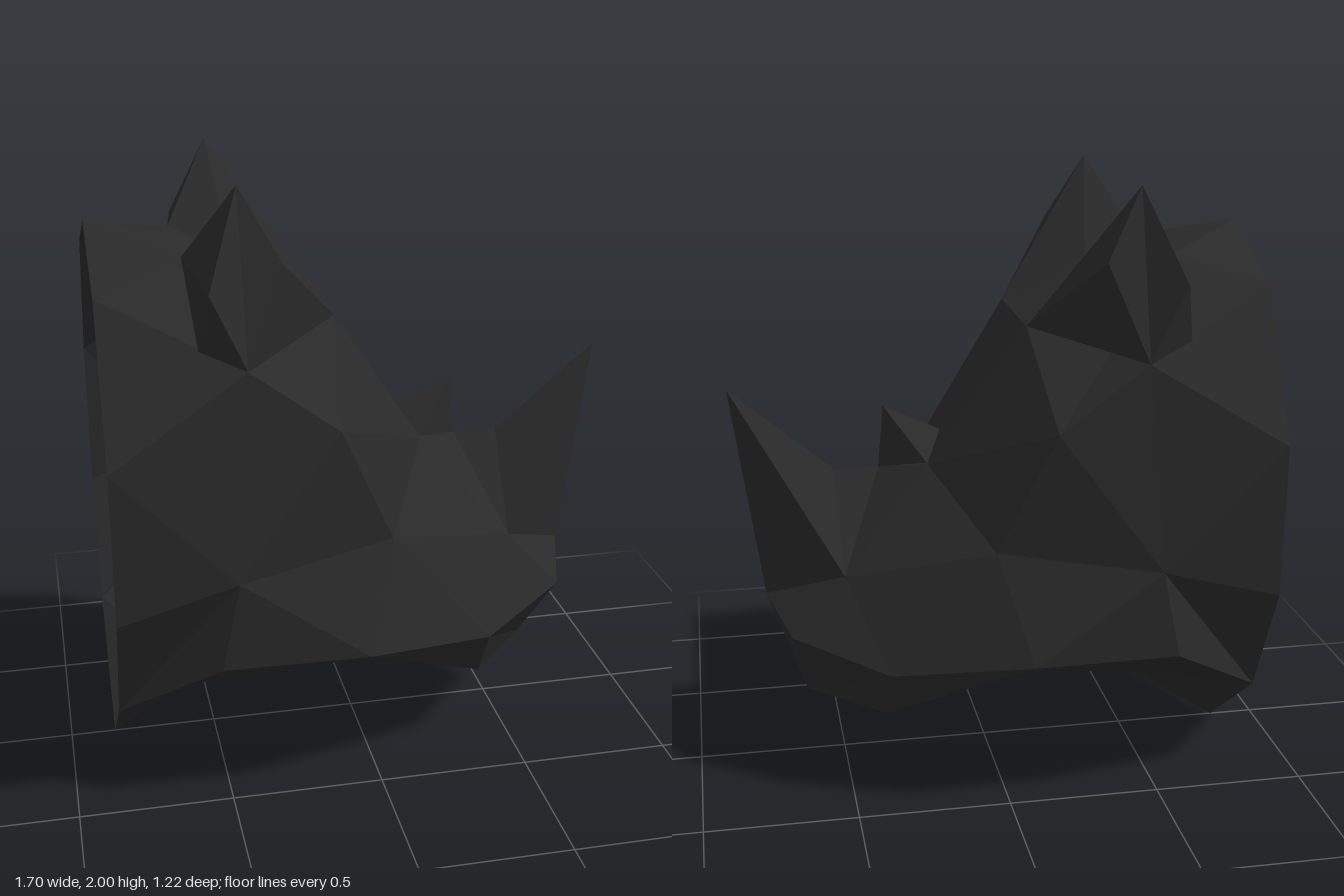
import * as THREE from 'three';

const material = new THREE.MeshStandardMaterial({ color: 0x2a2a2a, flatShading: true, side: THREE.DoubleSide });

// Mesh from triangles of [x, y, z] corners; zero-area triangles are dropped
function facets(name, triangles) {
  const points = [];
  const [a, b, c] = [0, 1, 2].map(() => new THREE.Vector3());
  for (const t of triangles) {
    a.set(...t[0]); b.set(...t[1]); c.set(...t[2]);
    if (new THREE.Triangle(a, b, c).getArea() > 1e-6) points.push(a.clone(), b.clone(), c.clone());
  }
  const geometry = new THREE.BufferGeometry().setFromPoints(points);
  geometry.computeVertexNormals();
  const mesh = new THREE.Mesh(geometry, material);
  mesh.name = name;
  return mesh;
}

// Mirror triangles across the z = 0 plane, keeping them facing outwards
const mirror = (triangles) =>
  triangles.map(([a, b, c]) => [a, c, b].map(([x, y, z]) => [x, y, -z]));
const bothSides = (triangles) => [...triangles, ...mirror(triangles)];

// Triangles from a tip to each pair of neighbouring loop points
const fan = (tip, loop) => loop.slice(1).map((p, i) => [tip, loop[i], p]);

// Half cross-sections from neck to nose, each running from crown to jaw;
// repeated points let facets taper to a corner
const neckSide = [-0.85, 0.32, 0.41];
const cheek = [0.04, 0.87, 0.46], jowl = [-0.06, 0.53, 0.6], throat = [-0.06, 0.33, 0];
const bridge = [0.36, 1.03, 0], hornBack = [0.51, 1.03, 0], nostril = [0.5, 0.73, 0.22];
const browSide = [0.21, 1.07, 0.13], nose = [0.75, 0.6, 0], lip = [0.62, 0.23, 0];
const sections = [
  [[-0.85, 1.83, 0], [-0.85, 1.68, 0.36], [-0.85, 1.22, 0.61], [-0.85, 0.72, 0.6], neckSide, neckSide, [-0.85, 0, 0]],
  [[-0.56, 1.77, 0], [-0.57, 1.75, 0.2], [-0.42, 1.48, 0.53], [-0.47, 0.82, 0.59], [-0.53, 0.53, 0.59],
    [-0.55, 0.35, 0.33], [-0.56, 0.19, 0]],
  [[-0.1, 1.54, 0], [-0.1, 1.54, 0.21], [-0.14, 1.27, 0.53], cheek, jowl, jowl, throat],
  [[0.15, 1.15, 0], browSide, browSide, cheek, jowl, jowl, throat],
  [bridge, bridge, bridge, nostril, [0.38, 0.46, 0.43], [0.38, 0.27, 0.31], [0.45, 0.17, 0]],
  [hornBack, hornBack, hornBack, nostril, [0.68, 0.53, 0.23], lip, lip],
  [nose, nose, nose, nose, nose, lip, lip],
];

// Quads (section, row) whose crease runs the other way: neck, eye, throat
const turned = ['0,3', '1,2', '1,5'];

function headTriangles() {
  const triangles = [];
  for (let i = 0; i < sections.length - 1; i++) {
    for (let j = 0; j < 6; j++) {
      const a = sections[i][j], b = sections[i][j + 1];
      const c = sections[i + 1][j + 1], d = sections[i + 1][j];
      if (turned.includes(`${i},${j}`)) triangles.push([a, b, d], [b, c, d]);
      else triangles.push([a, b, c], [a, c, d]);
    }
  }
  return triangles;
}

export function createModel() {
  const model = new THREE.Group();
  model.name = 'hornedAnimalHead';

  // Head, open at the neck
  model.add(facets('head', bothSides(headTriangles())));

  // Horns
  model.add(facets('frontHorn', bothSides(fan([0.85, 1.32, 0], [hornBack, nostril, nose]))));
  model.add(facets('rearHorn', bothSides(fan([0.34, 1.24, 0], [[0.15, 1.15, 0], [0.21, 1.07, 0.12], bridge]))));

  // Ears: a peak over the base loop, a hollow in front and an upright back
  const front = [-0.1, 1.54, 0.21], inner = [-0.37, 1.66, 0.13], back = [-0.57, 1.75, 0.2];
  const outer = [-0.53, 1.72, 0.54], root = [-0.42, 1.48, 0.53], hollow = [-0.3, 1.78, 0.45];
  const rearRoot = [-0.56, 1.54, 0.49];
  const ear = [
    ...fan([-0.42, 2, 0.375], [front, inner, back, outer, root, hollow, front]),
    [root, front, hollow],
    ...fan(outer, [back, rearRoot, root]),
  ];
  model.add(facets('leftEar', ear), facets('rightEar', mirror(ear)));

  return model;
}
